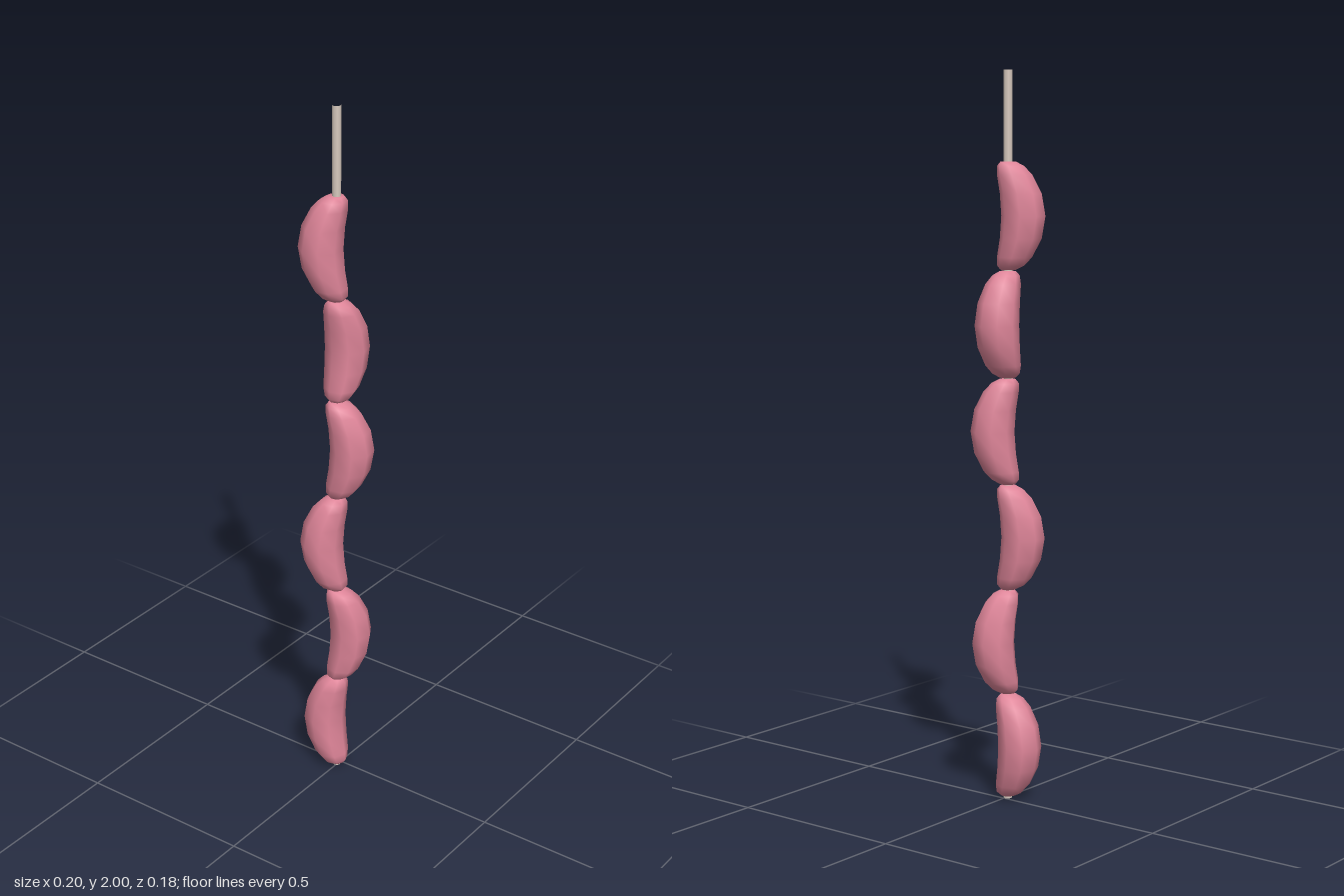
import * as THREE from 'three';
import { mergeVertices } from 'three/addons/utils/BufferGeometryUtils.js';

const STRING_X = -0.004, STRING_Z = 0.013;
const HALF = 0.146, BEND = 0.042, PITCH = 0.292;

// One plump link: an eight-sided lathe whose middle is pushed out along +x
function linkGeometry() {
  const half = [[0.144, 0.022], [0.133, 0.037], [0.11, 0.048], [0.06, 0.057]];
  const profile = [
    [-HALF, 0], ...half.map(([y, r]) => [-y, r]), [0, 0.06],
    ...half.slice().reverse().map(([y, r]) => [y, r]), [HALF, 0],
  ].map(([y, r]) => new THREE.Vector2(r, y));
  let geo = new THREE.LatheGeometry(profile, 8);
  const p = geo.attributes.position;
  for (let i = 0; i < p.count; i++) {
    const t = p.getY(i) / HALF;
    p.setX(i, p.getX(i) + BEND * (1 - t * t));
  }
  geo.deleteAttribute('uv');
  geo.deleteAttribute('normal');
  geo = mergeVertices(geo, 1e-5);
  geo.computeVertexNormals();
  return geo;
}

export function createModel() {
  const model = new THREE.Group();
  model.name = 'sausageString';
  const meat = new THREE.MeshStandardMaterial({ color: 0xe0869a });
  meat.name = 'pink meat';
  const twine = new THREE.MeshStandardMaterial({ color: 0xd9cbc0 });
  twine.name = 'beige twine';

  // Links from the bottom up, each bulging toward its own [x, z] direction
  const directions = [[-1, 0], [0.58, -0.81], [-0.88, 0.47], [0.84, -0.55], [0.12, -0.99], [-0.88, 0.47]];
  const geo = linkGeometry();
  directions.forEach(([dx, dz], i) => {
    const link = new THREE.Mesh(geo, meat);
    link.name = 'sausage' + (i + 1);
    link.position.set(STRING_X, 0.153 + i * PITCH, STRING_Z);
    link.rotation.y = Math.atan2(-dz, dx);
    model.add(link);
  });

  // Open-ended string running through the links and out of the top
  const string = new THREE.Mesh(new THREE.CylinderGeometry(0.012, 0.012, 2, 8, 1, true), twine);
  string.name = 'hangingString';
  string.position.set(STRING_X, 1, STRING_Z);
  model.add(string);
  return model;
}
